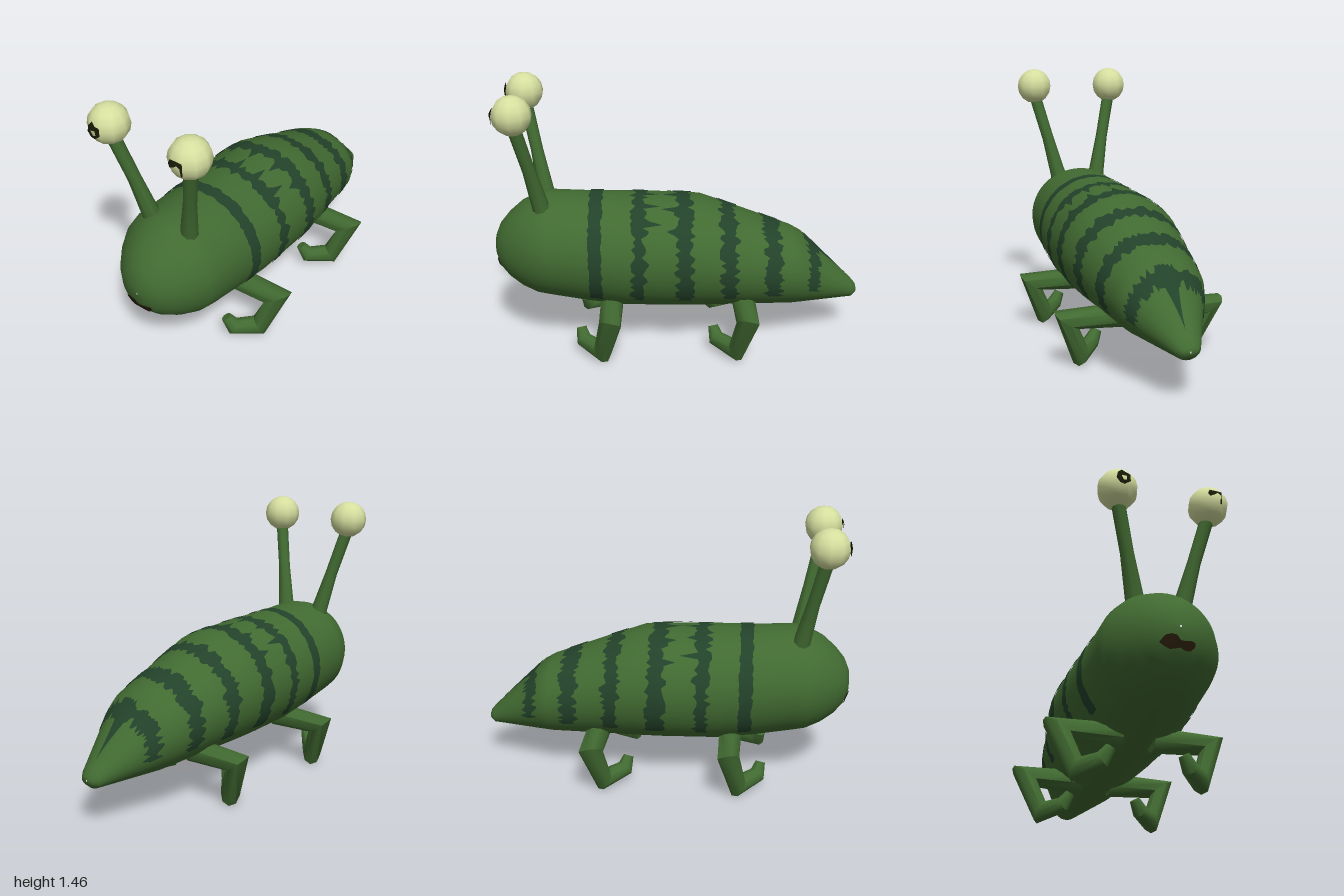
import * as THREE from 'three';
import { toCreasedNormals } from 'three/addons/utils/BufferGeometryUtils.js';

const material = (name, color) => Object.assign(new THREE.MeshStandardMaterial({ color }), { name });

// Body sections from nose to tail: z, half width, bottom, top
const SECTIONS = [
  [1, 0.005, 0.555, 0.565], [0.995, 0.06, 0.5, 0.63], [0.97, 0.12, 0.44, 0.69], [0.92, 0.18, 0.385, 0.75],
  [0.85, 0.235, 0.335, 0.81], [0.77, 0.28, 0.3, 0.85], [0.7, 0.295, 0.287, 0.865], [0.5, 0.305, 0.25, 0.855],
  [0.3, 0.322, 0.225, 0.85], [0, 0.332, 0.22, 0.84], [-0.12, 0.328, 0.22, 0.83], [-0.3, 0.295, 0.218, 0.765],
  [-0.62, 0.242, 0.215, 0.645], [-0.68, 0.214, 0.216, 0.612], [-0.97, 0.065, 0.228, 0.33],
  [-0.995, 0.04, 0.25, 0.3], [-1, 0.004, 0.27, 0.28],
];

function section(z) {
  let i = 0;
  while (i < SECTIONS.length - 2 && SECTIONS[i + 1][0] > z) i++;
  const a = SECTIONS[i], b = SECTIONS[i + 1], t = (z - a[0]) / (b[0] - a[0]);
  const [w, low, high] = [1, 2, 3].map(k => a[k] + (b[k] - a[k]) * t);
  return { w, c: (low + high) / 2, h: (high - low) / 2 };
}

function bodyPoint(angle, z, lift = 0) {
  const { w, c, h } = section(z);
  return new THREE.Vector3((w + lift) * Math.sin(angle), c + (h + lift) * Math.cos(angle), z);
}

// Skins a list of point rows
function loft(rows, closed) {
  const n = rows[0].length, index = [];
  for (let j = 0; j < rows.length - 1; j++) {
    for (let i = 0; i < (closed ? n : n - 1); i++) {
      const k = (i + 1) % n, a = j * n + i, b = j * n + k;
      index.push(a, b, a + n, b, b + n, a + n);
    }
  }
  const g = new THREE.BufferGeometry().setFromPoints(rows.flat());
  g.setIndex(index);
  g.computeVertexNormals();
  return g;
}

// Tapered tube with mitred bends and closed ends; points are [x, y, z, radius]
function limb(points, sides = 8) {
  const p = points.map(q => new THREE.Vector3(q[0], q[1], q[2]));
  const dirs = p.slice(1).map((q, i) => q.clone().sub(p[i]).normalize());
  const u = new THREE.Vector3(0, 0, 1).cross(dirs[0]).normalize();
  const v = dirs[0].clone().cross(u);
  let offsets = Array.from({ length: sides }, (_, i) => {
    const a = (i + 0.5) / sides * Math.PI * 2;
    return u.clone().multiplyScalar(Math.cos(a)).addScaledVector(v, Math.sin(a));
  });
  const rows = [offsets.map(() => p[0].clone())];
  p.forEach((q, i) => {
    const d = dirs[Math.max(i - 1, 0)], next = dirs[Math.min(i, dirs.length - 1)];
    const n = d.clone().add(next).normalize();
    const full = offsets.map(o => o.clone().addScaledVector(d, -o.dot(n) / d.dot(n)));
    rows.push(full.map(o => q.clone().addScaledVector(o.clone().clampLength(0, 1.35), points[i][3])));
    offsets = full.map(o => o.addScaledVector(next, -o.dot(next)).normalize());
  });
  rows.push(offsets.map(() => p[p.length - 1].clone()));
  return toCreasedNormals(loft(rows, true), 0.95);
}

export function createModel() {
  const model = new THREE.Group();
  model.name = 'stalkEyedCrawler';
  const green = material('bodyGreen', 0x416a31);
  const dark = material('stripeGreen', 0x23422a);
  const cream = material('eyeCream', 0xd6df9f);
  const black = material('pupilBlack', 0x1a1a08);
  const brown = material('mouthBrown', 0x261b0a);
  for (const m of [dark, black, brown]) m.side = THREE.DoubleSide;

  const add = (name, geometry, mat, parent = model) => {
    const mesh = new THREE.Mesh(geometry, mat);
    mesh.name = name;
    parent.add(mesh);
    return mesh;
  };
  let seed = 17;
  const random = () => (seed = (seed * 16807) % 2147483647) / 2147483647;

  // Body
  const SIDES = 48;
  add('body', loft(SECTIONS.map(([z]) =>
    Array.from({ length: SIDES }, (_, i) => bodyPoint(i / SIDES * Math.PI * 2, z))), true), green);

  // Ragged stripes over the back: front z, back z, raggedness, length of the spikes on top
  const stripes = [
    [0.48, 0.41, 0.006, 0], [0.25, 0.18, 0.022, 0.07], [0.015, -0.065, 0.02, 0],
    [-0.225, -0.305, 0.022, 0], [-0.46, -0.545, 0.022, 0], [-0.7, -0.765, 0.018, 0],
  ];
  stripes.forEach(([front, back, rag, spike], s) => {
    const { c, h } = section((front + back) / 2);
    const limit = Math.acos((0.345 - c) / h), COUNT = 72;
    const edges = Array.from({ length: COUNT + 1 }, (_, i) => {
      const a = (i / COUNT * 2 - 1) * limit;
      const tall = Math.abs(a) < 0.9 && i % 6 === 0 ? spike : 0;
      let rear = back - (random() - 0.5) * 2 * rag - tall;
      let fore = front + (random() - 0.5) * 2 * rag;
      if (s === 2 && Math.abs(a) < 0.9 && i % 7 === 1) fore += 0.07;
      // long point running down the tail
      if (s === 5) rear = Math.min(rear, -0.94 + Math.abs(a) * 0.8);
      return [a, fore, rear];
    });
    const rows = [0, 0.25, 0.5, 0.75, 1].map(t =>
      edges.map(([a, f, r]) => bodyPoint(a, f + (r - f) * t, 0.004)));
    add('stripe' + (s + 1), loft(rows, false), dark);
  });

  // Mouth laid on the front of the head: x, low y, high y
  const onHead = (x, y) => {
    let z = 1;
    for (; z > 0.5; z -= 0.002) {
      const { w, c, h } = section(z);
      if ((x / w) ** 2 + ((y - c) / h) ** 2 <= 1) break;
    }
    return new THREE.Vector3(x, y, z + 0.007);
  };
  const lips = [[-0.092, 0.478, 0.484], [-0.07, 0.462, 0.512], [-0.045, 0.451, 0.518], [-0.02, 0.456, 0.515],
    [0, 0.461, 0.492], [0.025, 0.452, 0.492], [0.05, 0.452, 0.498], [0.072, 0.475, 0.494]];
  add('mouth', loft([1, 0.5, 0].map(t => lips.map(([x, a, b]) => onHead(x, a + (b - a) * t))), false), brown);

  // Pupil outlines: a broken ring and a hooked bar
  const outline = pts => pts.map(([x, y]) => new THREE.Vector2(x, y));
  const ring = new THREE.Shape(outline([[-0.028, 0.03], [-0.008, 0.05], [0.012, 0.033], [0.034, 0.028],
    [0.036, -0.012], [0.005, -0.036], [-0.018, -0.03], [-0.036, -0.005]]));
  ring.holes.push(new THREE.Path(outline([[-0.012, 0.008], [0, -0.016], [0.016, -0.012], [0.013, 0.012]])));
  const hook = new THREE.Shape(outline([[-0.04, 0.01], [-0.03, 0.033], [0.035, 0.03], [0.033, -0.04],
    [0.026, -0.04], [0.026, 0.006], [0.01, 0.016], [-0.006, 0.004], [-0.03, -0.008]]));

  for (const s of [1, -1]) {
    const side = s > 0 ? 'left' : 'right';
    const mirror = pts => pts.map(([x, y, z, r]) => [x * s, y, z, r]);

    // Eye stalk, eyeball and pupil
    const eye = new THREE.Group();
    eye.name = side + 'Eye';
    model.add(eye);
    add(side + 'EyeStalk', limb(mirror([[0.115, 0.77, 0.72, 0.05], [0.122, 0.83, 0.73, 0.046],
      [0.172, 1.05, 0.772, 0.034], [0.237, 1.31, 0.827, 0.035]])), green, eye);
    const ball = add(side + 'Eyeball', new THREE.SphereGeometry(0.102, 10, 8), cream, eye);
    ball.position.set(0.238 * s, 1.363, 0.83);
    const patch = new THREE.ShapeGeometry(s > 0 ? hook : ring);
    const pos = patch.attributes.position;
    for (let i = 0; i < pos.count; i++) {
      pos.setZ(i, Math.sqrt(0.108 ** 2 - pos.getX(i) ** 2 - pos.getY(i) ** 2));
    }
    patch.computeVertexNormals();
    add(side + 'Pupil', patch, black, ball);

    // Bent legs with upturned feet
    for (const [name, z] of [['FrontLeg', 0.37], ['BackLeg', -0.355]]) {
      add(side + name, limb(mirror([[0.08, 0.265, z, 0.065], [0.395, 0.268, z, 0.06],
        [0.31, 0.058, z + 0.05, 0.05], [0.215, 0.08, z + 0.155, 0.042],
        [0.18, 0.138, z + 0.17, 0.028]])), green).position.y = 0;
    }
  }
  return model;
}
